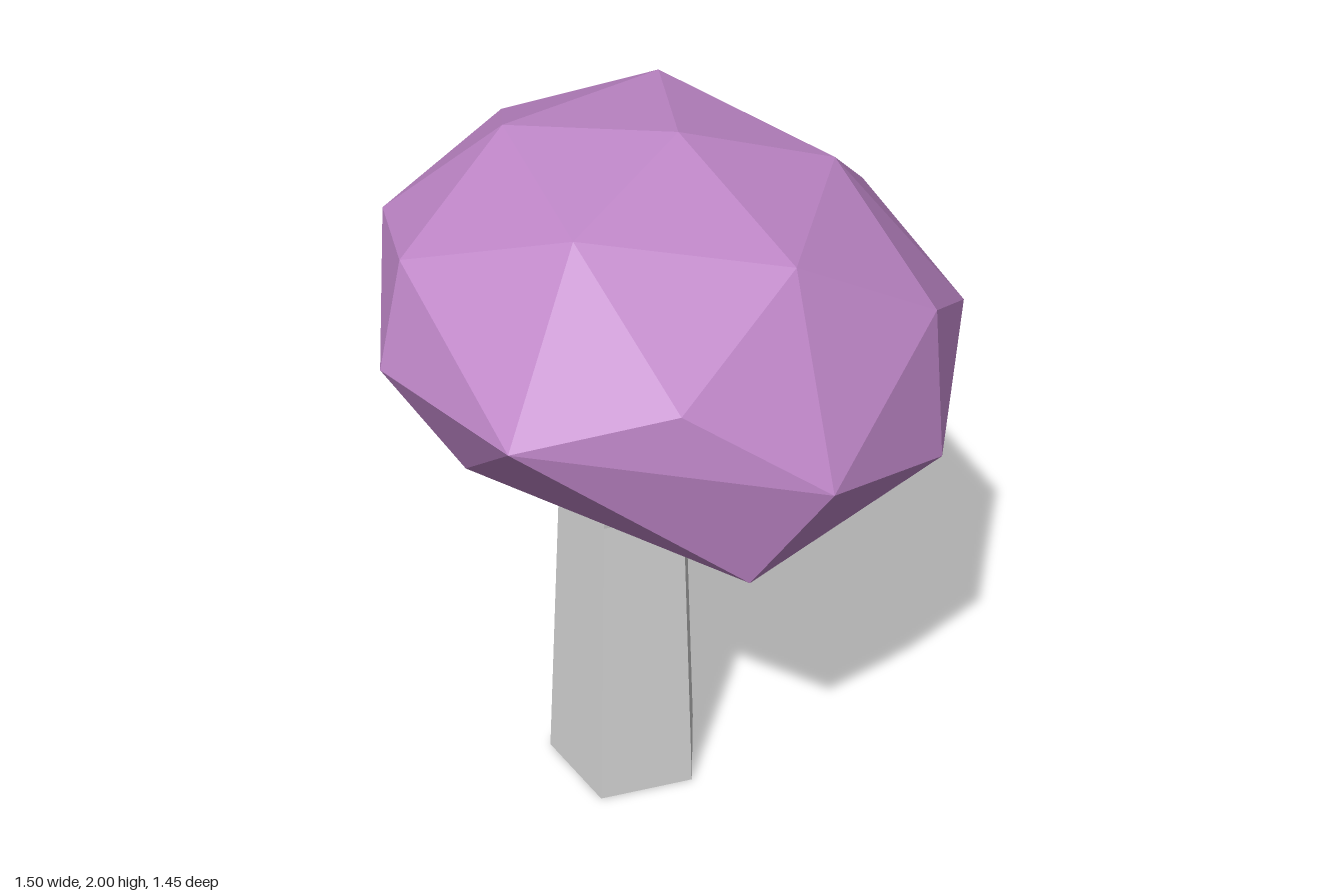
import * as THREE from 'three';
import { ConvexGeometry } from 'three/addons/geometries/ConvexGeometry.js';

const capMaterial = new THREE.MeshStandardMaterial({ color: 0xbd85c6, flatShading: true });
capMaterial.name = 'purple cap';
const stemMaterial = new THREE.MeshStandardMaterial({ color: 0xd2d2d2, flatShading: true });
stemMaterial.name = 'pale grey stem';

// Five-sided stem: straight lower half, upper half leaning to +x
function createStem() {
  const rings = [ // height, centre x, radius (bottom, bend, top)
    [0, -0.095, 0.222],
    [0.91, -0.088, 0.178],
    [1.48, 0.012, 0.168],
  ];
  const geometry = new THREE.CylinderGeometry(1, 1, 2, 5, 2, false, THREE.MathUtils.degToRad(97));
  const p = geometry.attributes.position;
  for (let i = 0; i < p.count; i++) {
    const [y, cx, r] = rings[Math.round(p.getY(i)) + 1];
    p.setXYZ(i, cx + p.getX(i) * r, y, 0.01 + p.getZ(i) * r);
  }
  const stem = new THREE.Mesh(geometry, stemMaterial);
  stem.name = 'stem';
  return stem;
}

// Faceted, lopsided cap: crown, shoulder and rim points wrapped in a hull
function createCap() {
  const crown = [
    [0.10, 2.00, 0.03], [-0.27, 1.955, 0.22], [-0.225, 1.95, -0.24],
    [0.255, 1.86, -0.33], [0.482, 1.825, 0.06], [0.155, 1.90, 0.407],
  ];
  const shoulder = [
    [-0.582, 1.79, -0.05], [-0.44, 1.66, -0.57], [0.03, 1.57, -0.725],
    [0.46, 1.445, -0.605], [0.61, 1.62, -0.287], [0.745, 1.435, 0.213],
    [0.512, 1.64, 0.445], [0.28, 1.57, 0.725], [-0.212, 1.78, 0.587], [-0.516, 1.715, 0.39],
  ];
  const rim = [
    [-0.75, 1.573, -0.08], [-0.197, 1.54, 0.678], [-0.06, 1.278, 0.563],
    [0.585, 1.15, 0.295], [0.703, 1.29, -0.23], [0.11, 1.32, -0.64],
    [-0.44, 1.40, -0.485], [-0.64, 1.46, 0.02],
  ];
  const points = [...crown, ...shoulder, ...rim].map((v) => new THREE.Vector3(...v));
  const hull = new ConvexGeometry(points).attributes.position;

  // Separate the flat underside so it can be pushed in slightly
  const out = [];
  const edges = new Map();
  const key = (a, b) => [...a.toArray(), ...b.toArray()].map((n) => n.toFixed(3)).join();
  const normal = new THREE.Vector3();
  for (let i = 0; i < hull.count; i += 3) {
    const t = [0, 1, 2].map((k) => new THREE.Vector3().fromBufferAttribute(hull, i + k));
    new THREE.Triangle(...t).getNormal(normal);
    if (normal.y > -0.8) out.push(...t);
    else t.forEach((a, k) => edges.set(key(a, t[(k + 1) % 3]), [a, t[(k + 1) % 3]]));
  }
  // Refill it as a shallow fan around a raised centre
  const centre = new THREE.Vector3(0.02, 1.37, -0.02);
  for (const [a, b] of edges.values()) {
    if (!edges.has(key(b, a))) out.push(a, b, centre);
  }
  const geometry = new THREE.BufferGeometry().setFromPoints(out);
  geometry.computeVertexNormals();
  const cap = new THREE.Mesh(geometry, capMaterial);
  cap.name = 'cap';
  return cap;
}

export function createModel() {
  const group = new THREE.Group();
  group.name = 'mushroom';
  group.add(createStem(), createCap());
  return group;
}
